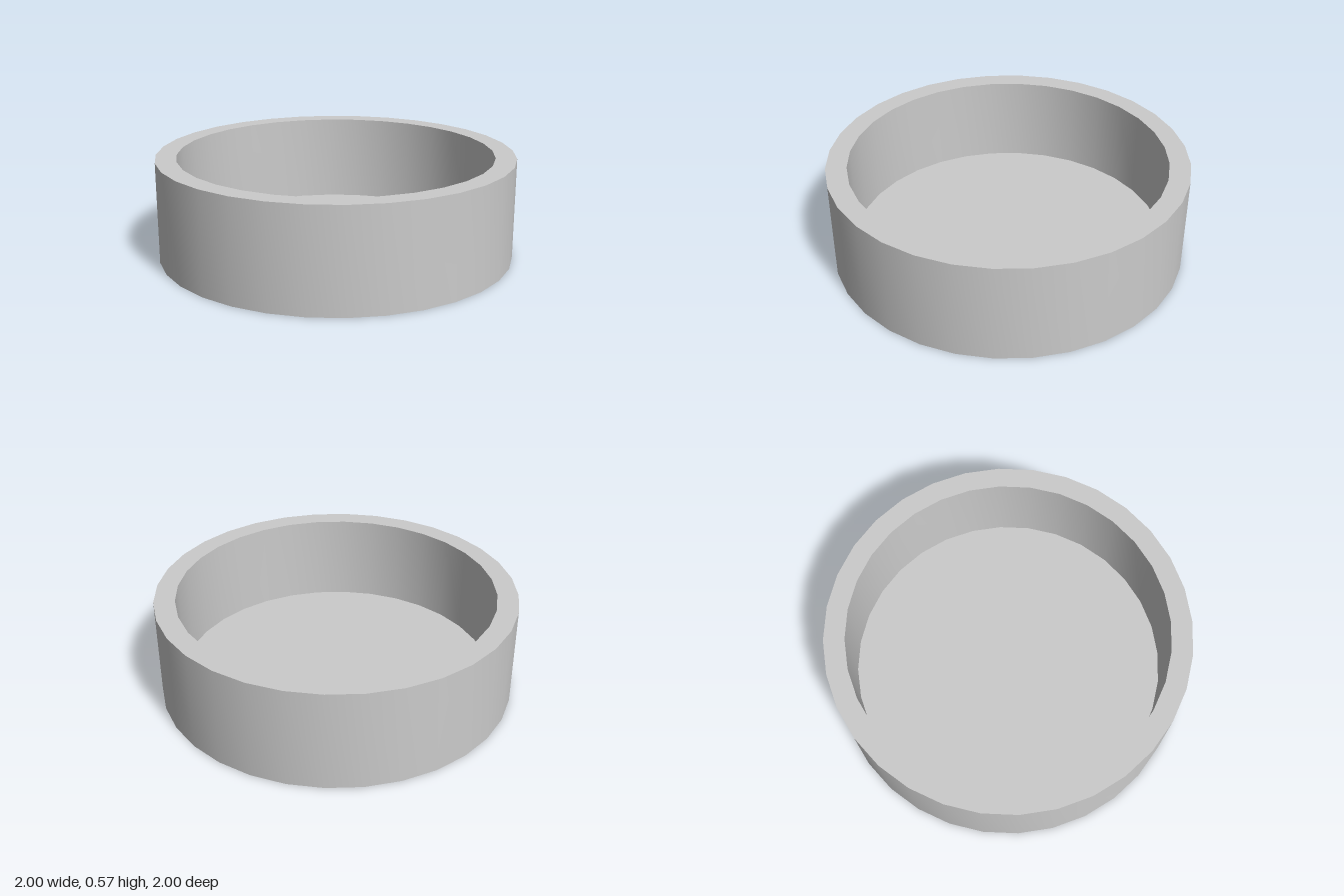
import * as THREE from 'three';
import { toCreasedNormals } from 'three/addons/utils/BufferGeometryUtils.js';

const SIDES = 32;
const OUTER_RADIUS = 1;
const INNER_RADIUS = 0.884;
const HEIGHT = 0.566;
const FLOOR = 0.06;

export function createModel() {
  const group = new THREE.Group();
  group.name = 'roundTray';

  // Closed profile: underside, outer wall, rim, inner wall, floor
  const profile = [
    [0, 0],
    [OUTER_RADIUS, 0],
    [OUTER_RADIUS, HEIGHT],
    [INNER_RADIUS, HEIGHT],
    [INNER_RADIUS, FLOOR],
    [0, FLOOR],
  ].map(([r, y]) => new THREE.Vector2(r, y));

  // Smooth around the walls, sharp at the rim and base edges
  const geometry = toCreasedNormals(new THREE.LatheGeometry(profile, SIDES), Math.PI / 6);
  const dish = new THREE.Mesh(geometry, new THREE.MeshStandardMaterial({ color: 0xcccccc }));
  dish.name = 'dish';
  group.add(dish);

  return group;
}
